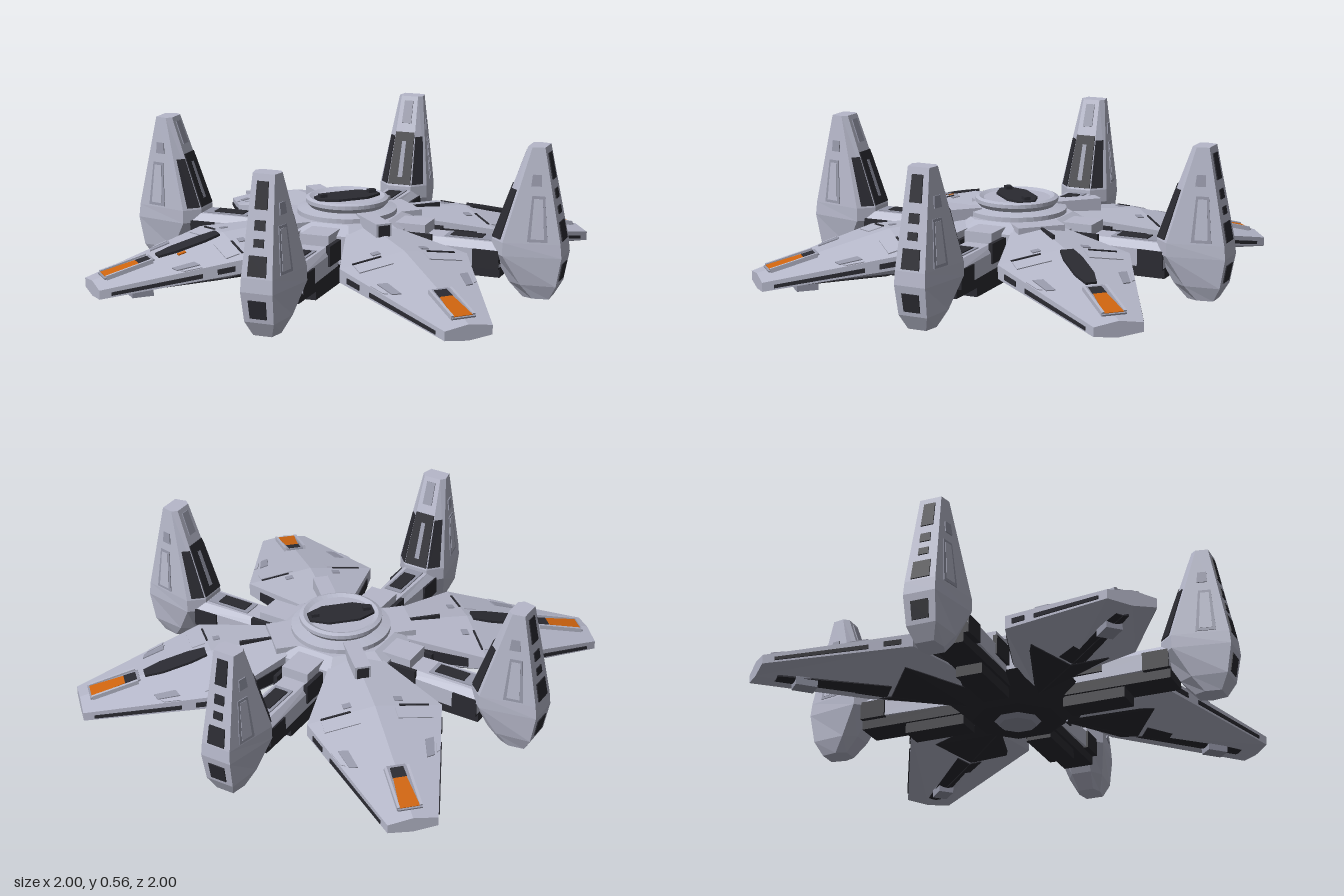
import * as THREE from 'three';

const hull = new THREE.MeshStandardMaterial({ color: 0xb6b8ca });
hull.name = 'pale hull grey';
const trim = new THREE.MeshStandardMaterial({ color: 0x9698a9 });
trim.name = 'mid grey trim';
const dark = new THREE.MeshStandardMaterial({ color: 0x2a2a31 });
dark.name = 'charcoal';
const orange = new THREE.MeshStandardMaterial({ color: 0xd0650f });
orange.name = 'orange';

const V = (x, y, z) => new THREE.Vector3(x, y, z);

function add(parent, name, geometry, material) {
  const mesh = new THREE.Mesh(geometry, material);
  mesh.name = name;
  parent.add(mesh);
  return mesh;
}

// Faceted solid through matching rings of points, closed at both ends
function loft(rings) {
  const tris = [];
  const n = rings[0].length;
  for (let k = 0; k < rings.length - 1; k++) {
    for (let i = 0; i < n; i++) {
      const j = (i + 1) % n;
      const a = rings[k][i], b = rings[k][j], c = rings[k + 1][j], d = rings[k + 1][i];
      tris.push([a, b, c], [a, c, d]);
    }
  }
  const first = rings[0], last = rings[rings.length - 1];
  for (let i = 1; i < n - 1; i++) {
    tris.push([first[0], first[i + 1], first[i]], [last[0], last[i], last[i + 1]]);
  }
  // A negative volume means the faces point inward
  const volume = tris.reduce((s, [a, b, c]) => s + a.dot(b.clone().cross(c)), 0);
  if (volume < 0) tris.forEach((t) => t.reverse());
  const geometry = new THREE.BufferGeometry().setFromPoints(tris.flat());
  geometry.computeVertexNormals();
  return geometry;
}

// Thin plate sitting on a flat outline
function plate(parent, name, pts, material, h = 0.004) {
  const n = pts[1].clone().sub(pts[0]).cross(pts[2].clone().sub(pts[0])).setLength(h);
  add(parent, name, loft([pts.map((p) => p.clone().sub(n)), pts.map((p) => p.clone().add(n))]), material);
}

// Part of a four-cornered face, given as fractions
function part([a, b, c, d], u0, u1, v0, v1) {
  const at = (u, v) => a.clone().lerp(b, u).lerp(d.clone().lerp(c, u), v);
  return [at(u0, v0), at(u1, v0), at(u1, v1), at(u0, v1)];
}

function box(parent, name, material, [x0, x1], [y0, y1], [z0, z1]) {
  const g = new THREE.BoxGeometry(x1 - x0, y1 - y0, z1 - z0);
  g.translate((x0 + x1) / 2, (y0 + y1) / 2, (z0 + z1) / 2);
  return add(parent, name, g, material);
}

// Wing pointing along +z
const ridgeY = (z) => (z < 0.5 ? 0.25 - ((z - 0.2) / 0.3) * 0.022 : 0.228 - (z - 0.5) * 0.252);
const topY = (x, z) => ridgeY(z) - 0.152 * Math.abs(x);

function makeWing(index) {
  const wing = new THREE.Group();
  wing.name = 'wing';
  const rings = [[0.2, 0.09, 0.13, 0.06], [0.5, 0.25, 0.14, 0.05], [1, 0.09, 0.055, 0.045]]
    .map(([z, w, yb, yk]) => [V(0, ridgeY(z), z), V(w, topY(w, z), z), V(w, yb, z),
      V(0, yk, z), V(-w, yb, z), V(-w, topY(w, z), z)]);
  add(wing, 'wingBody', loft(rings), hull);
  const face = (k, i, j) => [rings[k][i], rings[k][j], rings[k + 1][j], rings[k + 1][i]];

  // Dark rims and keel strips
  for (const [i, j] of [[1, 2], [5, 4]]) {
    plate(wing, 'innerRim', part(face(0, i, j), 0.3, 0.9, 0.1, 0.8), dark);
    plate(wing, 'rimStrip', part(face(1, i, j), 0.45, 0.8, 0.3, 0.92), dark);
    plate(wing, 'rimVent', part(face(1, i, j), 0.35, 0.75, 0.08, 0.2), dark);
    plate(wing, 'keelInner', part(face(0, 3, j), 0, 0.6, 0, 0.98), dark);
    plate(wing, 'keelOuter', part(face(1, 3, j), 0, 0.2, 0.02, 0.85), dark);
  }
  box(wing, 'keelFin', trim, [-0.03, 0.03], [0.026, 0.06], [0.78, 0.86]);

  // Tip light in its frame
  const onRidge = (pts) => pts.map(([x, z]) => V(x, ridgeY(z) + 0.003, z));
  const quad = (w0, z0, w1, z1) => onRidge([[-w0, z0], [w0, z0], [w1, z1], [-w1, z1]]);
  plate(wing, 'lightFrame', quad(0.034, 0.775, 0.044, 0.965), trim, 0.003);
  plate(wing, 'lightRecess', quad(0.024, 0.785, 0.026, 0.83), dark, 0.0045);
  plate(wing, 'tipLight', quad(0.024, 0.83, 0.036, 0.958), orange, 0.0049);
  for (const s of [-1, 1]) {
    box(wing, 'frameRail', hull, [s * 0.04 - 0.005, s * 0.04 + 0.005], [-0.004, 0.012], [-0.09, 0.09])
      .position.set(0, ridgeY(0.87), 0.87);
    wing.children[wing.children.length - 1].rotation.x = Math.atan(0.252);
  }

  // Hatches on both slopes
  for (const s of [-1, 1]) {
    const patch = (name, pts, m) => plate(wing, name, pts.map(([x, z]) => V(s * x, topY(x, z), z)), m);
    patch('edgeHatch', [[0.14, 0.66], [0.175, 0.65], [0.155, 0.73], [0.125, 0.74]], trim);
    patch('edgeHatchLid', [[0.185, 0.655], [0.2, 0.65], [0.18, 0.71], [0.165, 0.72]], hull);
    patch('deckPanel', [[0.07, 0.51], [0.2, 0.51], [0.2, 0.56], [0.07, 0.56]], hull);
    patch('deckSlot', [[0.09, 0.495], [0.2, 0.495], [0.2, 0.502], [0.09, 0.502]], dark);
    patch('deckPort', [[0.08, 0.45], [0.11, 0.45], [0.11, 0.475], [0.08, 0.475]], trim);
  }

  // Long dark hatch on the side wings only
  if (index % 2) {
    plate(wing, 'deckHatch', onRidge([[-0.025, 0.52], [0.025, 0.52], [0.036, 0.58], [0.036, 0.69],
      [0.02, 0.755], [-0.02, 0.755], [-0.036, 0.69], [-0.036, 0.58]]), dark, 0.0045);
  }
  if (index === 3) {
    for (const s of [-1, 1]) {
      plate(wing, 'marker', [[0.038, 0.66], [0.052, 0.66], [0.052, 0.69], [0.038, 0.69]]
        .map(([x, z]) => V(s * x, topY(x, z), z)), orange);
    }
  }
  wing.rotation.y = index * Math.PI / 2;
  return wing;
}

// Arm with an upright blade, pointing along +z
function makeArm(index) {
  const arm = new THREE.Group();
  arm.name = 'bladeArm';
  const section = (z, w) => [[0.7, 0.205], [1, 0.18], [1, 0.115], [-1, 0.115], [-1, 0.18], [-0.7, 0.205]]
    .map(([x, y]) => V(x * w, y, z));
  add(arm, 'armBeam', loft([section(0.18, 0.06), section(0.62, 0.075)]), hull);
  box(arm, 'armBelly', dark, [-0.06, 0.06], [0.075, 0.12], [0.18, 0.62]);
  box(arm, 'armKeel', dark, [-0.05, 0.05], [0.035, 0.09], [0.2, 0.44]);
  box(arm, 'armCollar', dark, [-0.08, 0.08], [0.11, 0.18], [0.52, 0.62]);
  box(arm, 'armFrame', trim, [-0.037, 0.037], [0.2, 0.209], [0.4, 0.58]);
  box(arm, 'armHatch', dark, [-0.026, 0.026], [0.205, 0.213], [0.42, 0.54]);
  box(arm, 'armRoot', hull, [-0.055, 0.055], [0.18, 0.245], [0.2, 0.33]);
  for (const s of [-1, 1]) {
    box(arm, 'rootPipe', dark, [s * 0.065 - 0.008, s * 0.065 + 0.008], [0.14, 0.215], [0.24, 0.36]);
  }

  // Blade: height, then half width and reach of its inner, middle and outer edges
  const rings = [
    [0.005, 0.03, 0.70, 0.045, 0.74, 0.035, 0.80],
    [0.06, 0.04, 0.65, 0.07, 0.70, 0.055, 0.83],
    [0.17, 0.05, 0.585, 0.1, 0.64, 0.06, 0.85],
    [0.22, 0.05, 0.585, 0.1, 0.64, 0.058, 0.845],
    [0.57, 0.035, 0.71, 0.05, 0.73, 0.041, 0.775],
  ].map(([y, wi, ri, wm, rm, wo, ro]) => [V(wi, y, ri), V(wm, y, rm), V(wo, y, ro),
    V(-wo, y, ro), V(-wm, y, rm), V(-wi, y, ri)]);
  add(arm, 'blade', loft(rings), hull);
  const face = (k, i, j) => [rings[k][i], rings[k][j], rings[k + 1][j], rings[k + 1][i]];

  // Windows down the outer spine
  const spine = face(3, 2, 3);
  for (const [u, v0, v1] of [[0.2, 0.02, 0.22], [0.32, 0.3, 0.38], [0.3, 0.46, 0.56], [0.25, 0.66, 0.93]]) {
    plate(arm, 'spineWindow', part(spine, u, 1 - u, v0, v1), dark);
  }
  plate(arm, 'lowerWindow', part(face(1, 2, 3), 0.22, 0.78, 0.15, 0.75), dark);

  // Dark inner face and raised side panels
  plate(arm, 'innerPanel', part(face(3, 0, 5), 0.02, 0.98, 0.02, 0.6), dark);
  plate(arm, 'innerRib', part(face(3, 0, 5), 0.4, 0.6, 0.1, 0.5), trim, 0.0049);
  plate(arm, 'innerCap', part(face(3, 0, 5), 0.25, 0.75, 0.7, 0.95), trim);
  for (const [a, b, c] of [[0, 1, 2], [5, 4, 3]]) {
    plate(arm, 'innerBevel', part(face(3, a, b), 0.05, 0.75, 0.02, 0.55), dark);
    plate(arm, 'sidePanel', part(face(3, b, c), 0.42, 0.78, 0.02, 0.5), trim, 0.003);
    plate(arm, 'sidePanelLid', part(face(3, b, c), 0.48, 0.72, 0.05, 0.47), hull, 0.0045);
    plate(arm, 'sideVent', part(face(3, b, c), 0.35, 0.7, 0.6, 0.72), trim);
  }
  arm.rotation.y = Math.PI / 4 + index * Math.PI / 2;
  return arm;
}

function makeHub() {
  const hub = new THREE.Group();
  hub.name = 'hub';
  const octagon = (name, rTop, rBottom, y0, y1, m) => {
    const g = new THREE.CylinderGeometry(rTop, rBottom, y1 - y0, 8).toNonIndexed();
    g.rotateY(Math.PI / 8).translate(0, (y0 + y1) / 2, 0);
    g.computeVertexNormals();
    add(hub, name, g, m);
  };
  octagon('hubBelly', 0.28, 0.17, 0.03, 0.12, dark);
  octagon('hubCore', 0.27, 0.27, 0.12, 0.225, hull);
  octagon('hubShoulder', 0.21, 0.27, 0.225, 0.255, hull);
  octagon('bellyCap', 0.1, 0.07, 0.015, 0.04, trim);

  // Round turret
  const profile = [[0.2, 0.24], [0.188, 0.25], [0.188, 0.272], [0.142, 0.282], [0.156, 0.298],
    [0.156, 0.312], [0.142, 0.318], [0.125, 0.31], [0, 0.31]].map(([r, y]) => new THREE.Vector2(r, y));
  const turret = new THREE.LatheGeometry(profile, 40).toNonIndexed();
  turret.computeVertexNormals();
  add(hub, 'turret', turret, hull);
  const canopy = [[-0.125, -0.025], [-0.06, -0.06], [0.06, -0.06], [0.125, -0.025],
    [0.125, 0.025], [0.06, 0.06], [-0.06, 0.06], [-0.125, 0.025]];
  plate(hub, 'canopy', canopy.map(([x, z]) => V(x, 0.315, z)), dark, 0.0045);
  for (const s of [-1, 1]) {
    box(hub, 'canopyKnob', dark, [s * 0.1 - 0.015, s * 0.1 + 0.015], [0.31, 0.332], [-0.012, 0.012]);
    // Clamps fore and aft
    const clamp = new THREE.Group();
    clamp.name = 'clamp';
    box(clamp, 'clampBar', hull, [-0.03, 0.03], [0.22, 0.285], [0.15, 0.33]);
    box(clamp, 'clampEnd', dark, [-0.022, 0.022], [0.228, 0.278], [0.326, 0.334]);
    clamp.rotation.y = s > 0 ? 0 : Math.PI;
    hub.add(clamp);
    box(hub, 'sideCollar', hull, [s * 0.22 - 0.05, s * 0.22 + 0.05], [0.2, 0.255], [-0.09, 0.09]);
    box(hub, 'sideSeam', dark, [s * 0.31 - 0.08, s * 0.31 + 0.08], [0.235, 0.251], [-0.005, 0.005]);
  }
  return hub;
}

export function createModel() {
  const model = new THREE.Group();
  model.name = 'starStation';
  model.add(makeHub());
  for (let i = 0; i < 4; i++) model.add(makeWing(i), makeArm(i));
  return model;
}
